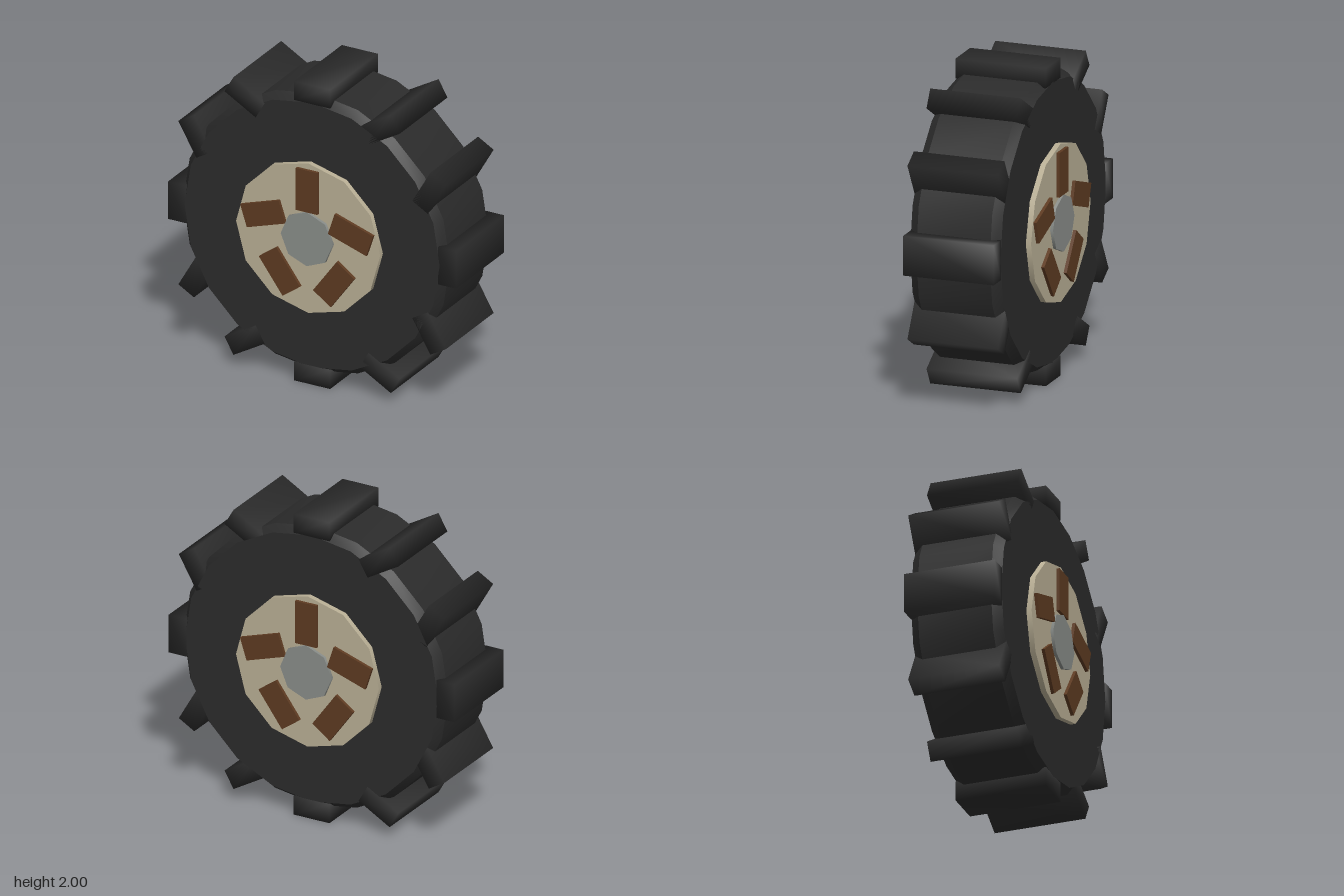
import * as THREE from 'three';
import { mergeVertices, toCreasedNormals } from 'three/addons/utils/BufferGeometryUtils.js';

const mat = (name, color) => {
  const m = new THREE.MeshStandardMaterial({ color });
  m.name = name;
  return m;
};

export function createModel() {
  const rubber = mat('blackRubber', 0x2b2b2b);
  const cream = mat('creamRim', 0xb9af95);
  const wood = mat('brownSpoke', 0x5e3b22);
  const steel = mat('greyHub', 0x8a8e8a);

  const wheel = new THREE.Group();
  wheel.name = 'wheel';
  wheel.position.y = 1;

  const add = (parent, name, geometry, material) => {
    const mesh = new THREE.Mesh(geometry, material);
    mesh.name = name;
    parent.add(mesh);
    return mesh;
  };

  // Tyre: 20-sided drum with bevelled shoulders, axle along z
  const half = 0.293;
  const profile = [[0, -half], [0.885, -half], [0.926, -half + 0.055],
    [0.926, half - 0.055], [0.885, half], [0, half]].map(([r, h]) => new THREE.Vector2(r, h));
  const tyre = toCreasedNormals(new THREE.LatheGeometry(profile, 20), 0.5);
  tyre.rotateX(Math.PI / 2);
  add(wheel, 'tyre', tyre, rubber);

  // Tread lugs: soft-shaded blocks, counter-rotated around the rim
  const box = new THREE.BoxGeometry(0.25, 0.125, half * 2);
  box.deleteAttribute('normal');
  box.deleteAttribute('uv');
  const lugGeometry = mergeVertices(box);
  lugGeometry.computeVertexNormals();
  for (let i = 0; i < 12; i++) {
    const a = (i / 12) * Math.PI * 2;
    const lug = add(wheel, 'treadLug', lugGeometry, rubber);
    lug.position.set(Math.sin(a) * 0.9375, Math.cos(a) * 0.9375, 0);
    lug.rotation.z = a;
  }

  // Rim disc, five spokes and hub cap on each side
  const disc = new THREE.CylinderGeometry(0.5, 0.5, 0.034, 12).rotateX(Math.PI / 2);
  const cap = new THREE.CylinderGeometry(0.18, 0.18, 0.04, 8).rotateX(Math.PI / 2);
  const spokeGeometry = new THREE.BoxGeometry(0.15, 0.28, 0.04);
  for (const side of [1, -1]) {
    const face = new THREE.Group();
    face.name = side > 0 ? 'frontRim' : 'backRim';
    wheel.add(face);
    add(face, 'rimDisc', disc, cream).position.z = side * 0.325;
    add(face, 'hubCap', cap, steel).position.z = side * 0.341;
    for (let i = 0; i < 5; i++) {
      const a = (i / 5) * Math.PI * 2;
      const spoke = add(face, 'spoke', spokeGeometry, wood);
      spoke.position.set(Math.sin(a) * 0.32, Math.cos(a) * 0.32, side * 0.342);
      spoke.rotation.z = a;
    }
  }

  const model = new THREE.Group();
  model.name = 'treadedWheel';
  model.add(wheel);
  return model;
}
